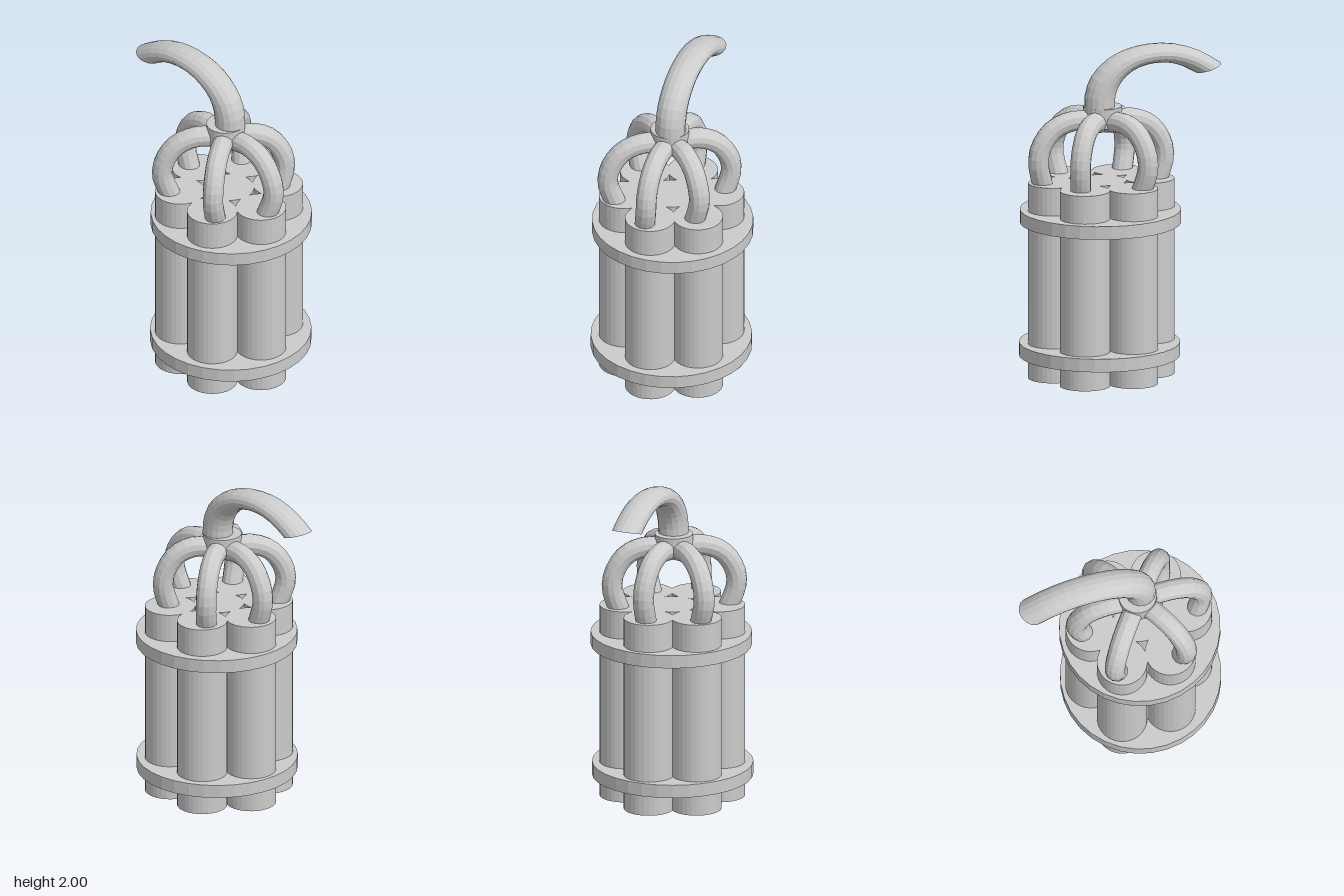
import * as THREE from 'three';

const material = new THREE.MeshStandardMaterial({ color: 0xcccccc, flatShading: true });

function part(name, geometry, x = 0, y = 0, z = 0) {
  const mesh = new THREE.Mesh(geometry, material);
  mesh.name = name;
  mesh.position.set(x, y, z);
  return mesh;
}

function cylinder(name, radius, bottom, top, x, z, sides) {
  return part(name, new THREE.CylinderGeometry(radius, radius, top - bottom, sides), x, (bottom + top) / 2, z);
}

// Main fuse: elliptical rings given by their outer and inner point [u, y, u, y]
// in a vertical plane that is turned about the y axis.
function mainFuseGeometry() {
  const sections = [
    [-0.09, 1.58, 0.09, 1.58], [-0.09, 1.71, 0.09, 1.68], [-0.05, 1.82, 0.11, 1.755],
    [0.045, 1.915, 0.16, 1.82], [0.17, 1.975, 0.235, 1.865], [0.32, 2.0, 0.33, 1.885],
    [0.47, 1.99, 0.43, 1.88], [0.62, 1.94, 0.52, 1.85], [0.75, 1.86, 0.59, 1.81],
  ];
  const outer = new THREE.CatmullRomCurve3(sections.map(s => new THREE.Vector3(s[0], s[1], 0)));
  const inner = new THREE.CatmullRomCurve3(sections.map(s => new THREE.Vector3(s[2], s[3], 0)));
  const steps = 16, sides = 16, halfWidth = 0.09, turn = THREE.MathUtils.degToRad(24.5);
  const dx = -Math.cos(turn), dz = -Math.sin(turn);
  const positions = [], index = [];
  const push = (u, y, w) => positions.push(0.105 + u * dx - w * dz, y, 0.008 + u * dz + w * dx);

  for (let i = 0; i <= steps; i++) {
    const o = outer.getPoint(i / steps), n = inner.getPoint(i / steps);
    for (let j = 0; j < sides; j++) {
      const a = (j / sides) * Math.PI * 2, c = Math.cos(a) / 2;
      push((o.x + n.x) / 2 + c * (o.x - n.x), (o.y + n.y) / 2 + c * (o.y - n.y), -halfWidth * Math.sin(a));
    }
  }
  for (let i = 0; i < steps; i++) {
    for (let j = 0; j < sides; j++) {
      const a = i * sides + j, b = i * sides + (j + 1) % sides;
      index.push(a, a + sides, b, b, a + sides, b + sides);
    }
  }
  // Cut ends
  const last = steps * sides;
  for (let j = 1; j < sides - 1; j++) {
    index.push(0, j, j + 1, last, last + j + 1, last + j);
  }
  const geometry = new THREE.BufferGeometry();
  geometry.setAttribute('position', new THREE.Float32BufferAttribute(positions, 3));
  geometry.setIndex(index);
  geometry.computeVertexNormals();
  return geometry;
}

// Small fuse: arches out of the collar to its widest point, then curls down into a stick
function smallFuseGeometry([wideX, wideZ, landX, landZ]) {
  const at = (f, y) => new THREE.Vector3(
    THREE.MathUtils.lerp(0.085, wideX, f), y, THREE.MathUtils.lerp(0.01, wideZ, f));
  const path = new THREE.CatmullRomCurve3([
    at(0.1, 1.545), at(0.44, 1.56), at(0.76, 1.515), at(0.96, 1.41), at(1, 1.31),
    new THREE.Vector3(landX, 1.16, landZ),
  ]);
  return new THREE.TubeGeometry(path, 14, 0.062, 12);
}

export function createModel() {
  const model = new THREE.Group();
  model.name = 'stickBundle';

  // One stick in the middle and six around it
  const sticks = new THREE.Group();
  sticks.name = 'sticks';
  const cx = 0.098, cz = 0.003;
  sticks.add(cylinder('centreStick', 0.15, 0, 1.19, cx, cz, 32));
  for (let i = 0; i < 6; i++) {
    const a = (i / 6) * Math.PI * 2;
    sticks.add(cylinder('outerStick', 0.15, 0, 1.19,
      cx + 0.296 * Math.sin(a), cz + 0.283 * Math.cos(a), 32));
  }
  model.add(sticks);

  // Straps
  model.add(cylinder('lowerStrap', 0.48, 0.13, 0.21, 0.11, 0.005, 32));
  model.add(cylinder('upperStrap', 0.48, 0.94, 1.02, 0.11, -0.003, 32));

  // Fuses and the collar that joins them: widest point x, z and landing x, z
  const fuses = new THREE.Group();
  fuses.name = 'smallFuses';
  const ends = [
    [0.045, -0.355, 0.06, -0.31], [0.395, -0.145, 0.365, -0.115],
    [0.445, 0.175, 0.4, 0.18], [0.14, 0.385, 0.14, 0.335],
    [-0.255, 0.19, -0.21, 0.165], [-0.245, -0.17, -0.205, -0.15],
  ];
  for (const end of ends) fuses.add(part('smallFuse', smallFuseGeometry(end)));
  model.add(fuses);
  model.add(cylinder('collar', 0.115, 1.52, 1.64, 0.08, 0.012, 24));
  model.add(part('mainFuse', mainFuseGeometry()));

  return model;
}
